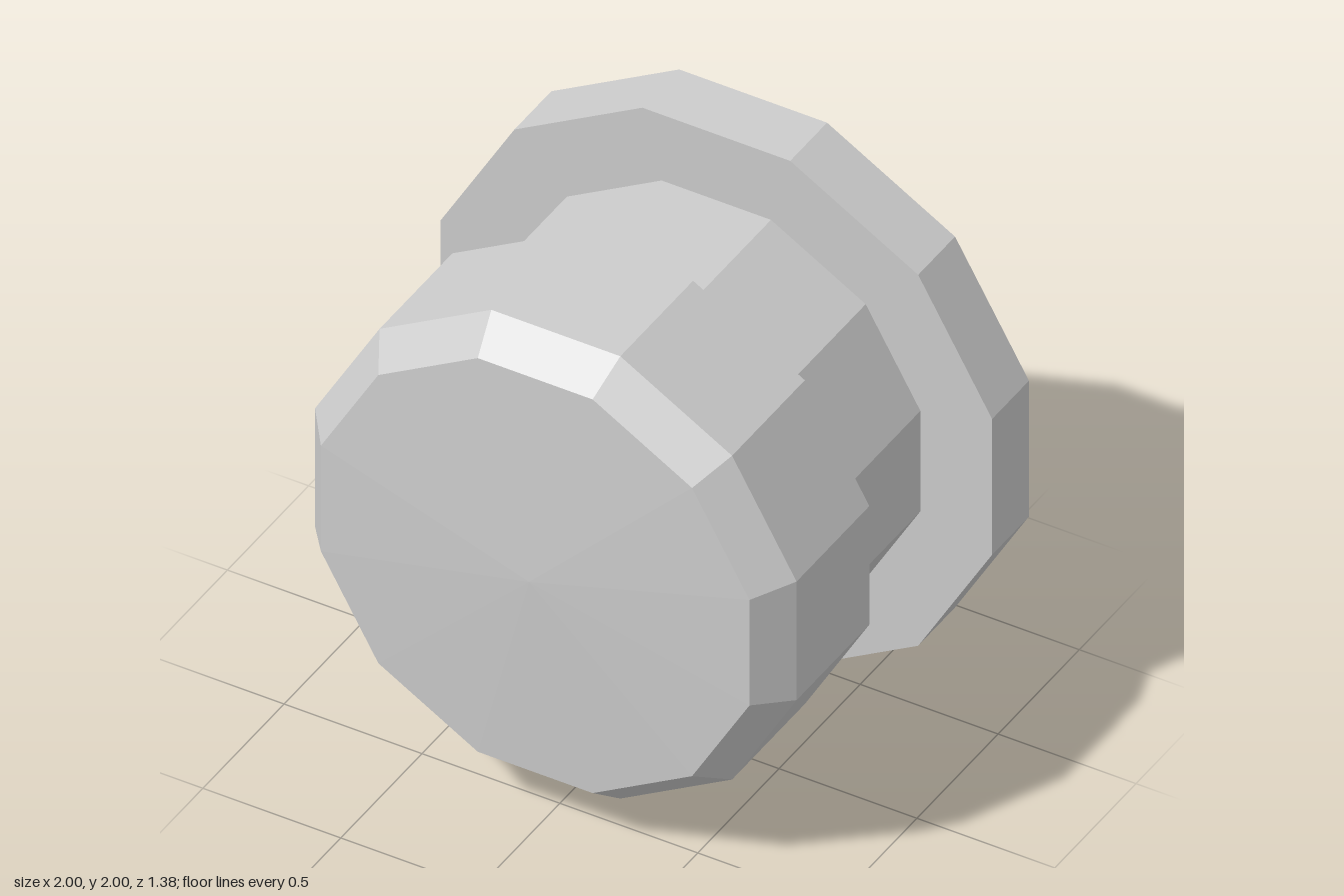
import * as THREE from 'three';

const SIDES = 12;
const STEP = Math.PI / SIDES;

export function createModel() {
  const group = new THREE.Group();
  group.name = 'knob';
  const grey = new THREE.MeshStandardMaterial({ color: 0xcccccc, flatShading: true });
  grey.name = 'light grey';

  // Twelve-sided section along z; radii are measured to the flats.
  function section(name, backZ, frontZ, backR, frontR, open = false) {
    const geo = new THREE.CylinderGeometry(
      frontR / Math.cos(STEP), backR / Math.cos(STEP), frontZ - backZ, SIDES, 1, open, STEP);
    geo.rotateX(Math.PI / 2);
    const mesh = new THREE.Mesh(geo, grey);
    mesh.name = name;
    mesh.position.set(0, 1, (backZ + frontZ) / 2);
    group.add(mesh);
  }

  section('baseFlange', -0.69, -0.463, 1, 1);
  section('neck', -0.463, 0.077, 0.74, 0.74, true);
  section('head', 0.077, 0.525, 0.873, 0.873);
  section('headBevel', 0.525, 0.652, 0.873, 0.777, true);
  section('domedFace', 0.652, 0.69, 0.777, 0, true);
  return group;
}
